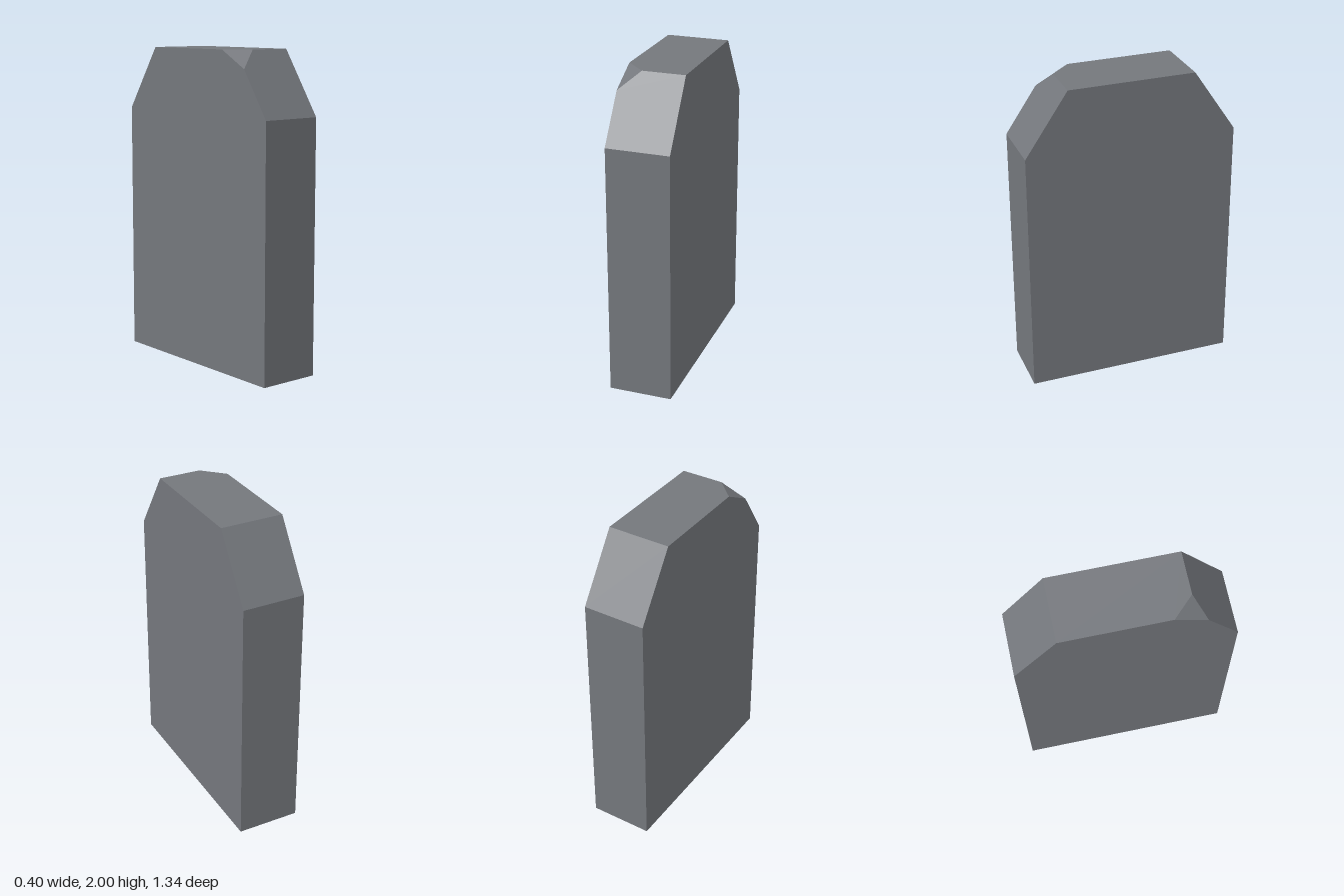
import * as THREE from 'three';
import { ConvexGeometry } from 'three/addons/geometries/ConvexGeometry.js';

export function createModel() {
  const group = new THREE.Group();
  group.name = 'stoneSlab';

  const stone = new THREE.MeshStandardMaterial({ color: 0x74777c });
  stone.name = 'grey stone';

  const halfWidth = 0.2, halfDepth = 0.67, topDepth = 0.4, shoulder = 1.6, height = 2;
  const points = [];
  const add = (x, y, z) => points.push(new THREE.Vector3(x, y, z));

  // Upright slab with bevelled front and back shoulders
  for (const x of [-halfWidth, halfWidth]) {
    for (const side of [-1, 1]) {
      add(x, 0, side * halfDepth);
      add(x, shoulder, side * halfDepth);
      // The top front corner on the model's right is chipped off
      if (x > 0 || side < 0) add(x, height, side * topDepth);
    }
  }

  // Three corners of the chip: on the top's two edges and down the front bevel
  const drop = 0.11;
  add(-halfWidth, height, 0.27);
  add(-0.07, height, topDepth);
  add(-halfWidth, height - drop,
    topDepth + (halfDepth - topDepth) * drop / (height - shoulder));

  const slab = new THREE.Mesh(new ConvexGeometry(points), stone);
  slab.name = 'slab';
  group.add(slab);
  return group;
}
